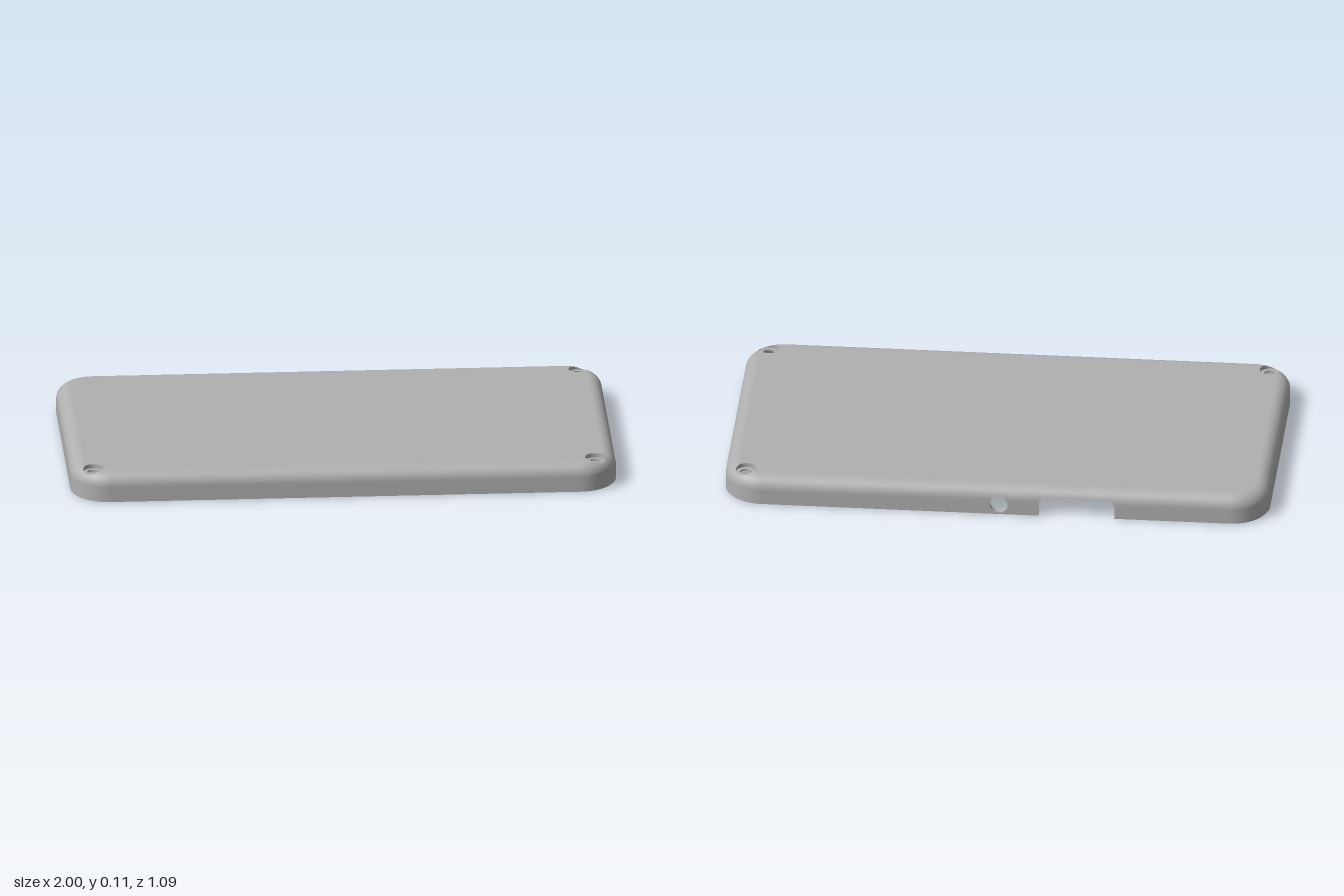
import * as THREE from 'three';
import { ParametricGeometry } from 'three/addons/geometries/ParametricGeometry.js';

// half length, half width, corner radius, top fillet, height, wall thickness
const HX = 1, HZ = 0.545, R = 0.14, F = 0.05, H = 0.11, T = 0.02;
const LIP = 0.006, CEIL = 0.088, SEAT = 0.094, C = 0.2;
const HEAD = 0.037, BORE = 0.022;
const SCREWS = [[0.92, 0.47], [-0.92, 0.47], [0.92, -0.47]];
const lerp = THREE.MathUtils.lerp;

// how far the outer skin leans in at height y
function inset(y) {
  const k = Math.min(Math.max(y - (H - F), 0), F);
  return F - Math.sqrt(F * F - k * k);
}
// distance inward from the rounded plan outline
function depth(x, z) {
  const qx = Math.abs(x) - (HX - R), qz = Math.abs(z) - (HZ - R);
  return R - (qx > 0 && qz > 0 ? Math.hypot(qx, qz) : Math.max(qx, qz));
}
// height of the top skin over a plan point
function topHeight(x, z) {
  const d = Math.min(Math.max(depth(x, z), 0), F);
  return H - F + Math.sqrt(Math.max(F * F - (F - d) ** 2, 0));
}

export function createModel() {
  const model = new THREE.Group();
  const grey = new THREE.MeshStandardMaterial({ color: 0xb0b0b0, side: THREE.DoubleSide });
  grey.name = 'plain grey';

  function add(name, geometry) {
    const mesh = new THREE.Mesh(geometry, grey);
    mesh.name = name;
    model.add(mesh);
    return mesh;
  }
  function surface(name, nu, nv, fn) {
    const g = new ParametricGeometry((u, v, p) => p.set(...fn(u, v)), nu, nv);
    g.computeVertexNormals();
    return add(name, g);
  }
  // strip along a plan path between two [inset, y] profile points
  function ribbon(name, path, a, b, n) {
    surface(name, n, 1, (u, v) => {
      const [x, z] = path(u, lerp(a[0], b[0], v));
      return [x, lerp(a[1], b[1], v), z];
    });
  }
  // stepped rim and inner face below an unbroken wall
  function rim(path, n) {
    const profile = [[0, LIP], [LIP, LIP], [LIP, 0], [T, 0], [T, CEIL]];
    for (let i = 0; i < 4; i++) ribbon(i < 3 ? 'rim' : 'innerWall', path, profile[i], profile[i + 1], n);
  }
  // filleted outer skin between two height curves
  function skin(path, lo, hi, n) {
    surface('outerWall', n, 18, (u, v) => {
      const y = lerp(lo(u), hi(u), Math.sin(v * Math.PI / 2));
      const [x, z] = path(u, inset(y));
      return [x, y, z];
    });
  }
  function wall(path) {
    skin(path, () => LIP, () => H, 1);
    rim(path, 1);
  }
  const backPath = (x0, x1) => (t, i) => [lerp(x0, x1, t), -(HZ - i)];

  // straight front and end walls
  wall((t, i) => [lerp(-(HX - C), HX - C, t), HZ - i]);
  for (const s of [-1, 1]) wall((t, i) => [s * (HX - i), lerp(-(HZ - C), HZ - C, t)]);

  // back wall: notch open at the bottom, and a round port
  const NX0 = -0.44, NX1 = -0.16, NTOP = 0.08, NR = 0.035;
  const PX = -0.015, PY = 0.042, PR = 0.033;
  for (const [a, b] of [[-(HX - C), NX0], [NX1, PX - PR], [PX + PR, HX - C]]) wall(backPath(a, b));

  const notchTop = (u) => {
    const x = lerp(NX0, NX1, u);
    const k = Math.max(NR - Math.min(x - NX0, NX1 - x), 0);
    return NTOP - NR + Math.sqrt(Math.max(NR * NR - k * k, 0));
  };
  const notchPath = backPath(NX0, NX1);
  skin(notchPath, notchTop, () => H, 64);
  surface('innerWall', 64, 1, (u, v) => [lerp(NX0, NX1, u), lerp(notchTop(u), CEIL, v), -(HZ - T)]);
  surface('notchTop', 64, 1, (u, v) => {
    const y = notchTop(u);
    return [lerp(NX0, NX1, u), y, -(HZ - lerp(inset(y), T, v))];
  });
  for (const x of [NX0, NX1]) {
    surface('notchSide', 1, 1, (u, v) => [x, lerp(LIP, NTOP - NR, u), -(HZ - T * v)]);
    surface('notchSide', 1, 1, (u, v) => [x, LIP * u, -(HZ - lerp(LIP, T, v))]);
  }

  // columns spaced by angle so the port stays round
  const portPath = (t, i) => [PX - PR * Math.cos(t * Math.PI), -(HZ - i)];
  const portTop = (t) => PY + PR * Math.sin(t * Math.PI);
  const portLow = (t) => PY - PR * Math.sin(t * Math.PI);
  skin(portPath, portTop, () => H, 24);
  skin(portPath, () => LIP, portLow, 24);
  const low = [[0, LIP], [LIP, LIP], [LIP, 0], [T, 0]];
  for (let i = 0; i < 3; i++) ribbon('rim', portPath, low[i], low[i + 1], 1);
  for (const [lo, hi] of [[portTop, () => CEIL], [() => 0, portLow]]) {
    surface('innerWall', 24, 1, (u, v) => [portPath(u, 0)[0], lerp(lo(u), hi(u), v), -(HZ - T)]);
  }
  surface('portBore', 48, 1, (u, v) => {
    const a = u * Math.PI * 2, y = PY + PR * Math.sin(a);
    return [PX + PR * Math.cos(a), y, -(HZ - lerp(inset(y), T, v))];
  });

  // rounded corners: lower wall, rim, and a top patch fanned around the screw hole
  for (const sx of [-1, 1]) for (const sz of [-1, 1]) {
    const path = (t, i) => {
      if (t < 0.1) return [sx * lerp(HX - C, HX - R, t * 10), sz * (HZ - i)];
      if (t > 0.9) return [sx * (HX - i), sz * lerp(HZ - R, HZ - C, (t - 0.9) * 10)];
      const a = (t - 0.1) / 0.8 * Math.PI / 2;
      return [sx * (HX - R + (R - i) * Math.sin(a)), sz * (HZ - R + (R - i) * Math.cos(a))];
    };
    ribbon('cornerWall', path, [0, H - F], [0, LIP], 20);
    rim(path, 20);

    const cx = sx * 0.92, cz = sz * 0.47;
    const hasScrew = SCREWS.some(([x, z]) => x === cx && z === cz);
    const r0 = hasScrew ? HEAD : 0;
    const lap = C + 0.008;
    const inside = (x, z) => Math.abs(x) >= HX - lap && Math.abs(z) >= HZ - lap && depth(x, z) >= 0;
    surface('cornerTop', 180, 16, (u, v) => {
      const c = Math.cos(u * Math.PI * 2), s = Math.sin(u * Math.PI * 2);
      let near = 0, far = 0.4;
      for (let k = 0; k < 30; k++) {
        const mid = (near + far) / 2;
        if (inside(cx + c * mid, cz + s * mid)) near = mid; else far = mid;
      }
      const r = lerp(r0, near, Math.sin(v * Math.PI / 2));
      const x = cx + c * r, z = cz + s * r;
      return [x, topHeight(x, z), z];
    });

    // counterbored screw hole
    if (!hasScrew) continue;
    surface('screwRecess', 60, 1, (u, v) => {
      const x = cx + HEAD * Math.cos(u * Math.PI * 2), z = cz + HEAD * Math.sin(u * Math.PI * 2);
      return [x, lerp(topHeight(x, z), SEAT, v), z];
    });
    add('screwSeat', new THREE.RingGeometry(BORE, HEAD, 48).rotateX(-Math.PI / 2)).position.set(cx, SEAT, cz);
    add('screwBore', new THREE.CylinderGeometry(BORE, BORE, SEAT - CEIL, 48, 1, true))
      .position.set(cx, (SEAT + CEIL) / 2, cz);
  }

  // flat top between the corner patches
  const ax = HX - C, bx = HX - F, az = HZ - C, bz = HZ - F;
  const cross = [[ax, -bz], [ax, -az], [bx, -az], [bx, az], [ax, az], [ax, bz],
    [-ax, bz], [-ax, az], [-bx, az], [-bx, -az], [-ax, -az], [-ax, -bz]];
  const topShape = new THREE.Shape(cross.map(([x, y]) => new THREE.Vector2(x, y)));
  add('topPlate', new THREE.ShapeGeometry(topShape).rotateX(-Math.PI / 2)).position.y = H;

  // inner ceiling
  const ceiling = new THREE.Shape();
  [[1, 1, 0], [-1, 1, 1], [-1, -1, 2], [1, -1, 3]].forEach(([x, y, q]) => {
    ceiling.absarc(x * (HX - R), y * (HZ - R), R - T, q * Math.PI / 2, (q + 1) * Math.PI / 2, false);
  });
  for (const [x, z] of SCREWS) {
    ceiling.holes.push(new THREE.Path().absarc(x, z, BORE, 0, Math.PI * 2, true));
  }
  add('ceiling', new THREE.ShapeGeometry(ceiling, 24).rotateX(Math.PI / 2)).position.y = CEIL;

  // small pegs under the ceiling
  for (const z of [-0.17, -0.46]) {
    add('peg', new THREE.BoxGeometry(0.024, 0.045, 0.024)).position.set(0.25, CEIL - 0.0225, z);
  }
  return model;
}
